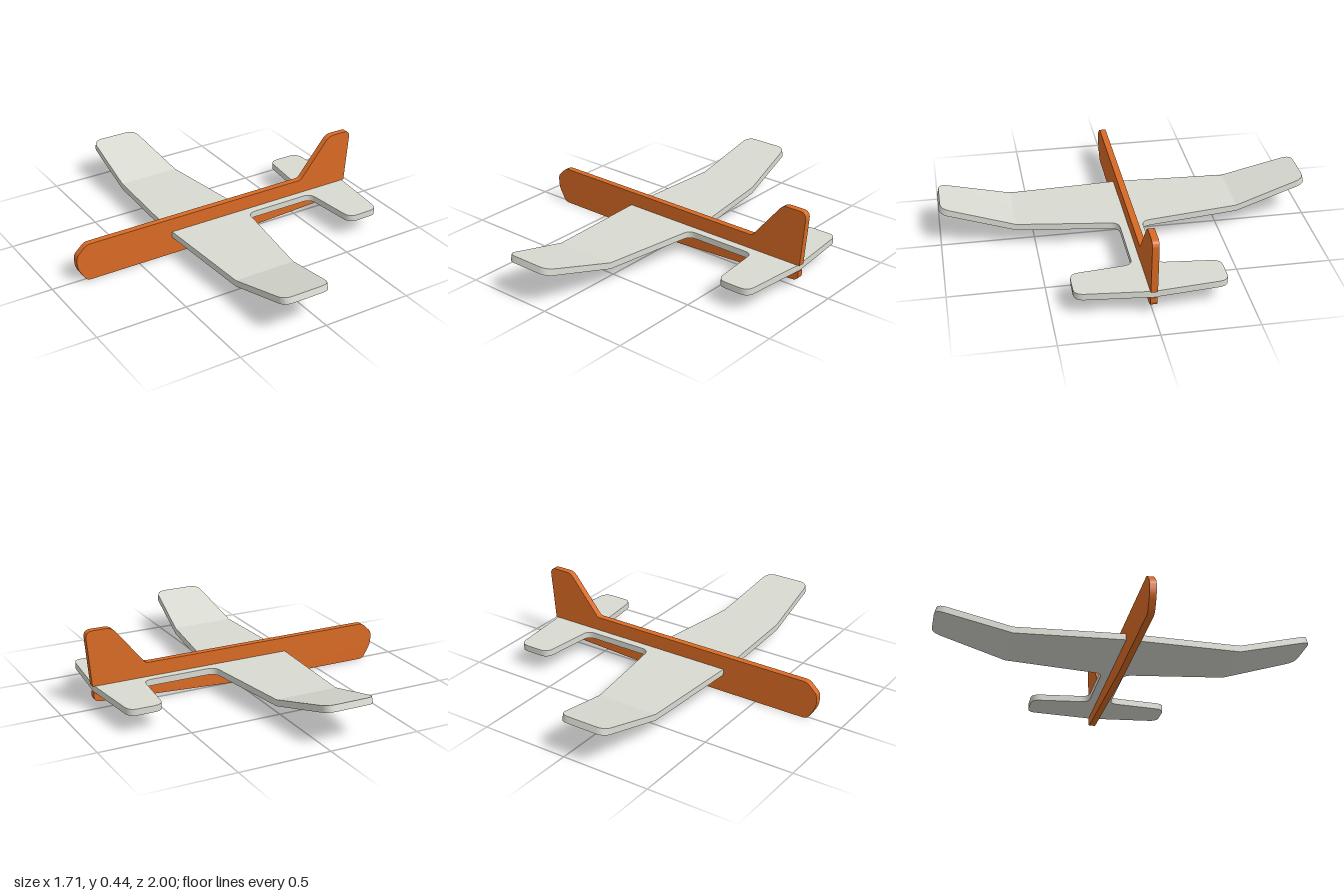
import * as THREE from 'three';
import { toCreasedNormals } from 'three/addons/utils/BufferGeometryUtils.js';

const SHEET = 0.035;        // thickness of every sheet
const SHEET_BOTTOM = 0.098; // height of the wing sheet's underside
const SHEET_TOP = SHEET_BOTTOM + SHEET;
const HINGE = 0.6;          // where the wing bends upward
const BEND = THREE.MathUtils.degToRad(14.4);

// Polygon from [x, y, cornerCut] points, corners rounded where a cut is given
function roundedShape(points) {
  const shape = new THREE.Shape();
  const n = points.length;
  const at = (i) => new THREE.Vector2(points[(i + n) % n][0], points[(i + n) % n][1]);
  for (let i = 0; i < n; i++) {
    const p = at(i);
    const cut = points[i][2] || 0;
    const toward = (q) => p.clone().add(q.sub(p).setLength(cut));
    const a = cut ? toward(at(i - 1)) : p;
    if (i === 0) shape.moveTo(a.x, a.y);
    else shape.lineTo(a.x, a.y);
    if (cut) {
      const b = toward(at(i + 1));
      shape.quadraticCurveTo(p.x, p.y, b.x, b.y);
    }
  }
  shape.closePath();
  return shape;
}

function sheet(points) {
  return new THREE.ExtrudeGeometry(roundedShape(points), {
    depth: SHEET, bevelEnabled: false, curveSegments: 8,
  });
}

function finish(geometry, material, name) {
  const flat = geometry.index ? geometry.toNonIndexed() : geometry;
  flat.computeVertexNormals();
  const mesh = new THREE.Mesh(toCreasedNormals(flat, 0.5), material);
  mesh.name = name;
  return mesh;
}

export function createModel() {
  const group = new THREE.Group();
  group.name = 'gliderPlane';

  const orange = new THREE.MeshStandardMaterial({ color: 0xd96a24 });
  orange.name = 'orange';
  const grey = new THREE.MeshStandardMaterial({ color: 0xd9dad1 });
  grey.name = 'paleGrey';

  // Upright fuselage with fin, slotted for the wing sheet
  const fuselage = sheet([
    [-0.86, 0.155, 0.02], [-0.86, 0.085, 0.03], [-0.81, 0, 0.025],
    [-0.1, 0, 0.03], [0.825, 0.047, 0.035], [0.825, SHEET_BOTTOM],
    [-0.3, SHEET_BOTTOM], [-0.3, SHEET_TOP], [0.83, SHEET_TOP],
    [0.858, 0.435, 0.04], [0.715, 0.435, 0.03], [0.53, 0.211, 0.015],
    [-0.8, 0.211, 0.02],
  ]);
  fuselage.translate(0, 0, -SHEET / 2);
  group.add(finish(fuselage, orange, 'fuselageAndFin'));

  // Flat sheet: inner wing, boom and tailplane, mirrored across the centre line
  const half = [
    [-0.27, HINGE], [0.077, HINGE], [0.153, 0.062, 0.045],
    [0.565, 0.062, 0.045], [0.598, 0.388, 0.05], [0.783, 0.388, 0.05],
    [0.82, 0],
  ];
  const mirrored = half.slice(0, -1).reverse().map(([x, z, cut]) => [x, -z, cut]);
  const inner = sheet([[-0.3, 0], ...half, ...mirrored]);
  inner.rotateX(Math.PI / 2).translate(0, SHEET_TOP, 0);
  group.add(finish(inner, grey, 'innerWingAndTailplane'));

  // Upturned wing tips
  const length = (1 - HINGE) / Math.cos(BEND);
  for (const side of [1, -1]) {
    const tip = sheet([
      [-0.27, 0], [0.077, 0],
      [0.02, side * length, 0.055], [-0.25, side * length, 0.055],
    ]);
    tip.rotateX(Math.PI / 2).translate(0, SHEET, 0);
    // Tilt the panel about the hinge, leaving the hinge edge upright
    const pos = tip.attributes.position;
    for (let i = 0; i < pos.count; i++) {
      const h = pos.getY(i);
      const s = Math.abs(pos.getZ(i));
      const angle = s > 1e-4 ? BEND : 0;
      pos.setY(i, SHEET_BOTTOM + s * Math.sin(angle) + h * Math.cos(angle));
      pos.setZ(i, side * (HINGE + s * Math.cos(angle) - h * Math.sin(angle)));
    }
    group.add(finish(tip, grey, side > 0 ? 'frontWingTip' : 'backWingTip'));
  }

  return group;
}
